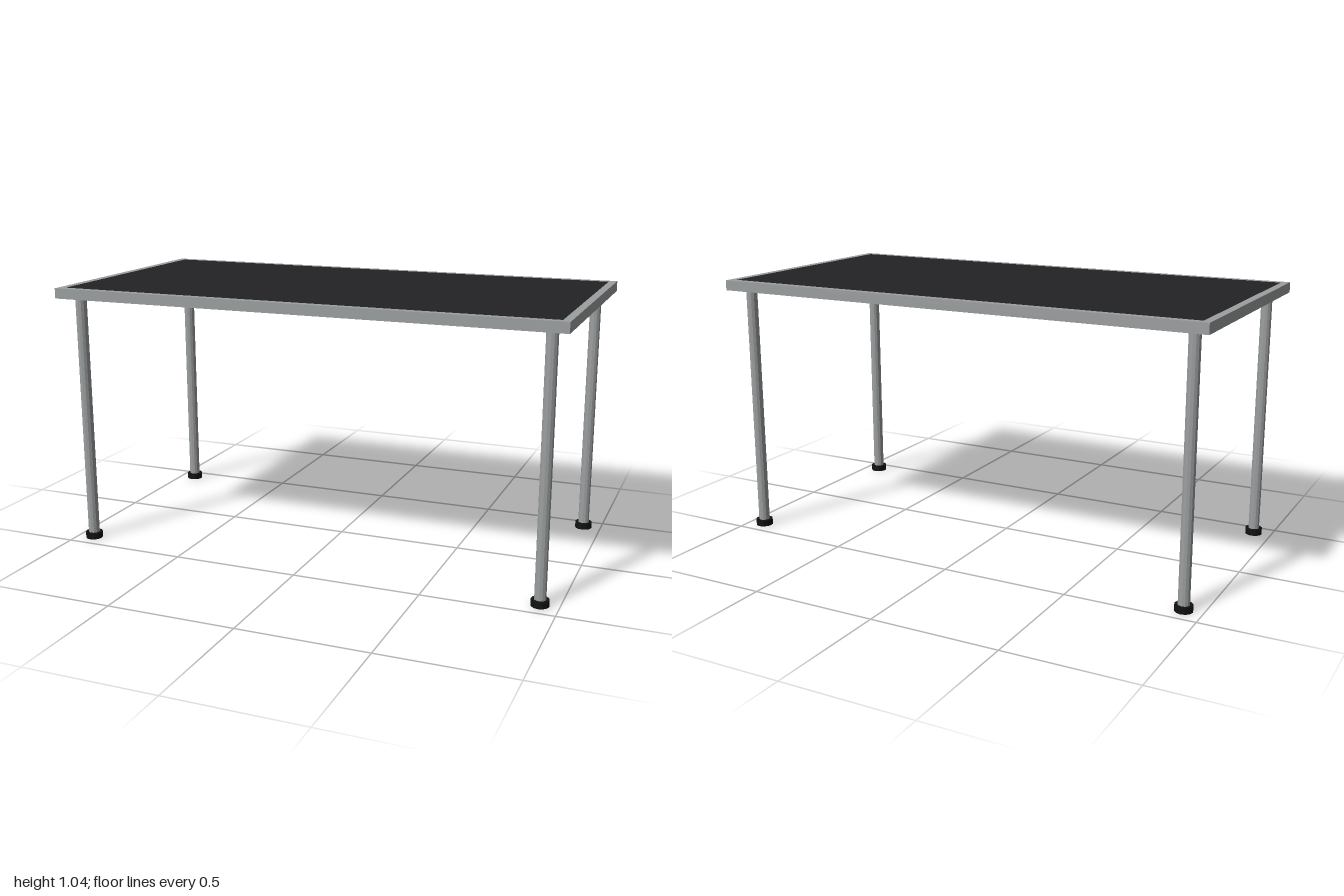
import * as THREE from 'three';

export function createModel() {
  const model = new THREE.Group();
  const metal = new THREE.MeshStandardMaterial({ color: 0x9c9fa0, flatShading: true });
  const dark = new THREE.MeshStandardMaterial({ color: 0x232325 });
  const rubber = new THREE.MeshStandardMaterial({ color: 0x111111, flatShading: true });

  const legTop = 1.0, topThickness = 0.04, rim = 0.03;

  function add(parent, name, geometry, material, x, y, z) {
    const mesh = new THREE.Mesh(geometry, material);
    mesh.name = name;
    mesh.position.set(x, y, z);
    parent.add(mesh);
    return mesh;
  }

  // Rectangular outline centred on the origin
  function rectangle(path, w, d) {
    path.moveTo(-w / 2, -d / 2);
    path.lineTo(w / 2, -d / 2);
    path.lineTo(w / 2, d / 2);
    path.lineTo(-w / 2, d / 2);
    path.closePath();
    return path;
  }

  // Metal frame around the table top
  const outline = rectangle(new THREE.Shape(), 2, 1);
  outline.holes.push(rectangle(new THREE.Path(), 2 - 2 * rim, 1 - 2 * rim));
  const frame = new THREE.ExtrudeGeometry(outline, { depth: topThickness, bevelEnabled: false });
  frame.rotateX(-Math.PI / 2);
  add(model, 'tableFrame', frame, metal, 0, legTop, 0);

  // Dark panel set into the frame
  const panel = new THREE.BoxGeometry(2 - 2 * rim, topThickness, 1 - 2 * rim);
  add(model, 'tablePanel', panel, dark, 0, legTop + topThickness / 2, 0);

  // Four round legs, each on a wider foot
  const footHeight = 0.025;
  const legGeometry = new THREE.CylinderGeometry(0.022, 0.022, legTop - footHeight, 12);
  const footGeometry = new THREE.CylinderGeometry(0.034, 0.034, footHeight, 12);
  for (const [zSide, zName] of [[1, 'front'], [-1, 'back']]) {
    for (const [xSide, xName] of [[1, 'Left'], [-1, 'Right']]) {
      const leg = new THREE.Group();
      leg.name = zName + xName + 'Leg';
      leg.position.set(0.93 * xSide, 0, 0.43 * zSide);
      add(leg, 'legPost', legGeometry, metal, 0, (legTop + footHeight) / 2, 0);
      add(leg, 'legFoot', footGeometry, rubber, 0, footHeight / 2, 0);
      model.add(leg);
    }
  }
  return model;
}
